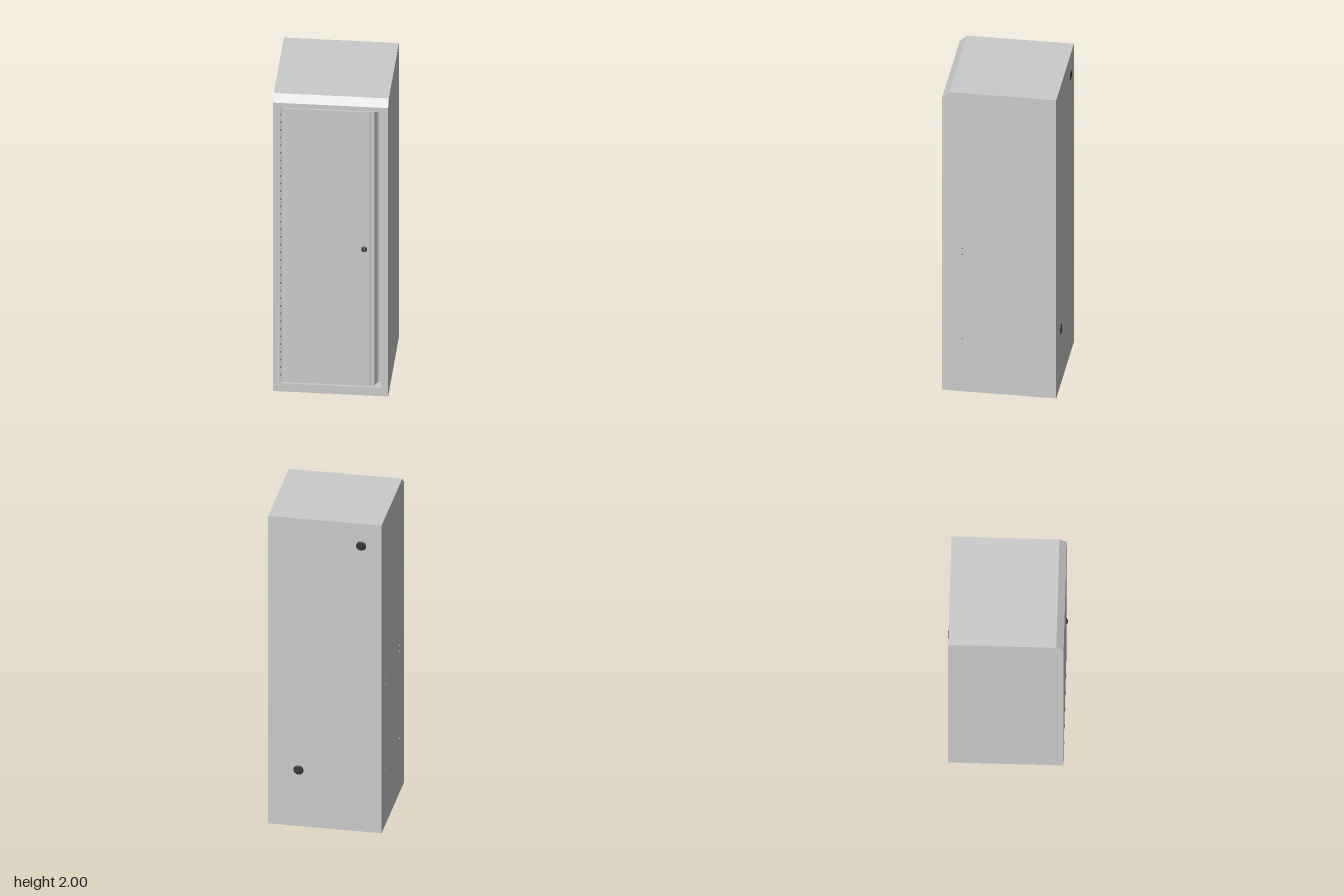
import * as THREE from 'three';

const grey = new THREE.MeshStandardMaterial({ color: 0xcccccc });
const dark = new THREE.MeshStandardMaterial({ color: 0x383838 });

const T = 0.008; // sheet thickness
const X0 = -0.338, X1 = 0.335, ZB = -0.34, ZF = 0.333;
const OX0 = -0.297, OX1 = 0.292, OY0 = 0.056, OY1 = 1.93; // door opening

export function createModel() {
  const model = new THREE.Group();
  model.name = 'locker';

  const add = (name, geometry, x = 0, y = 0, z = 0, material = grey) => {
    const mesh = new THREE.Mesh(geometry, material);
    mesh.name = name;
    mesh.position.set(x, y, z);
    model.add(mesh);
    return mesh;
  };
  const box = (name, x0, x1, y0, y1, z0, z1) =>
    add(name, new THREE.BoxGeometry(x1 - x0, y1 - y0, z1 - z0), (x0 + x1) / 2, (y0 + y1) / 2, (z0 + z1) / 2);

  // Flat sheet from an outline, with round holes [x, y]
  const sheet = (points, depth, holes = [], radius = 0.006) => {
    const shape = new THREE.Shape(points.map(([x, y]) => new THREE.Vector2(x, y)));
    for (const [x, y] of holes) shape.holes.push(new THREE.Path().absarc(x, y, radius, 0, Math.PI * 2, true));
    return new THREE.ExtrudeGeometry(shape, { depth, bevelEnabled: false, curveSegments: 8 });
  };
  // Outline (z, y), thickness running toward -x
  const sideways = (geometry) => geometry.rotateY(-Math.PI / 2);
  // Outline (x, -z), thickness running toward +y
  const upward = (geometry) => geometry.rotateX(-Math.PI / 2);

  // Side panels with chamfered top front corner and fixing holes
  const sideOutline = [[ZB, 0], [ZF, 0], [ZF, 1.96], [0.29, 2], [ZB, 2]];
  const sideHoles = [[0.25, 1.985], [-0.295, 1.985]];
  for (const z of [0.213, -0.216]) for (const y of [0.955, 0.915, 0.35]) sideHoles.push([z, y]);
  add('rightSidePanel', sideways(sheet(sideOutline, T, sideHoles)), X1);
  add('leftSidePanel', sideways(sheet(sideOutline, T, sideHoles)), X0 + T);

  // Roof folded into the sloped edge and the front header
  const roofOutline = [[ZB, 2], [0.29, 2], [ZF, 1.96], [ZF, OY1], [ZF - T, OY1], [ZF - T, 1.956], [0.287, 2 - T], [ZB, 2 - T]];
  add('roof', sideways(sheet(roofOutline, X1 - X0 - 2 * T)), X1 - T);

  // Floor with groups of mounting holes
  const floorHoles = [];
  for (const x of [0.228, 0.126, -0.129, -0.23]) for (const z of [-0.318, -0.236, 0.225, 0.305]) floorHoles.push([x, -z]);
  const fx0 = X0 + T, fx1 = X1 - T;
  add('floor', upward(sheet([[fx0, -ZF], [fx1, -ZF], [fx1, -ZB], [fx0, -ZB]], T, floorHoles)));

  // Back panel with two cable plugs
  box('backPanel', fx0, fx1, T, 2 - T, ZB, ZB + T);
  const plugProfile = [[0, -0.004], [0.02, -0.004], [0.03, -0.001], [0.03, 0.002]].map(([r, y]) => new THREE.Vector2(r, y));
  for (const [x, y] of [[-0.217, 1.857], [0.155, 0.365]]) {
    const plug = new THREE.LatheGeometry(plugProfile, 32).rotateX(Math.PI / 2);
    add('cablePlug', plug, x, y, ZB, dark).material.side = THREE.DoubleSide;
  }

  // Front frame and the folded lips around the opening
  box('leftStile', fx0, OX0, T, OY1, ZF - T, ZF);
  box('rightStile', OX1, fx1, T, OY1, ZF - T, ZF);
  box('bottomRail', OX0, OX1, T, OY0, ZF - T, ZF);
  const zl = 0.26;
  box('leftLip', OX0 - T, OX0, OY0, OY1, zl, ZF - T);
  box('rightLip', OX1, OX1 + T, OY0, OY1, zl, ZF - T);
  box('bottomLip', OX0, OX1, OY0 - T, OY0, zl, ZF - T);
  box('topLip', OX0, OX1, OY1, OY1 + T, zl, ZF - T);

  // Door with a full-height finger channel along its opening edge
  const doorOutline = [
    [-0.289, 0.331], [0.225, 0.331], [0.23, 0.326], [0.254, 0.322], [0.262, 0.298],
    [0.27, 0.282], [0.28, 0.278], [0.289, 0.278], [0.289, 0.262], [-0.289, 0.262],
  ].map(([x, z]) => [x, -z]);
  add('door', upward(sheet(doorOutline, 1.86)), 0, 0.063, 0);

  // Hinge knuckles along the left edge
  const knuckle = new THREE.CylinderGeometry(0.004, 0.004, 0.036, 10);
  const count = 36;
  for (let i = 0; i < count; i++) add('hingeKnuckle', knuckle, -0.293, 0.085 + (i * 1.82) / (count - 1), 0.331);

  // Round lock
  const lockProfile = [[0, 0.012], [0.009, 0.012], [0.011, 0.01], [0.012, 0.007], [0.017, 0.005], [0.017, 0]]
    .map(([r, y]) => new THREE.Vector2(r, y)).reverse();
  add('lock', new THREE.LatheGeometry(lockProfile, 24).rotateX(Math.PI / 2), 0.195, 0.993, 0.331, dark);
  box('keySlot', 0.1935, 0.1965, 0.988, 0.998, 0.34, 0.3438);

  return model;
}
